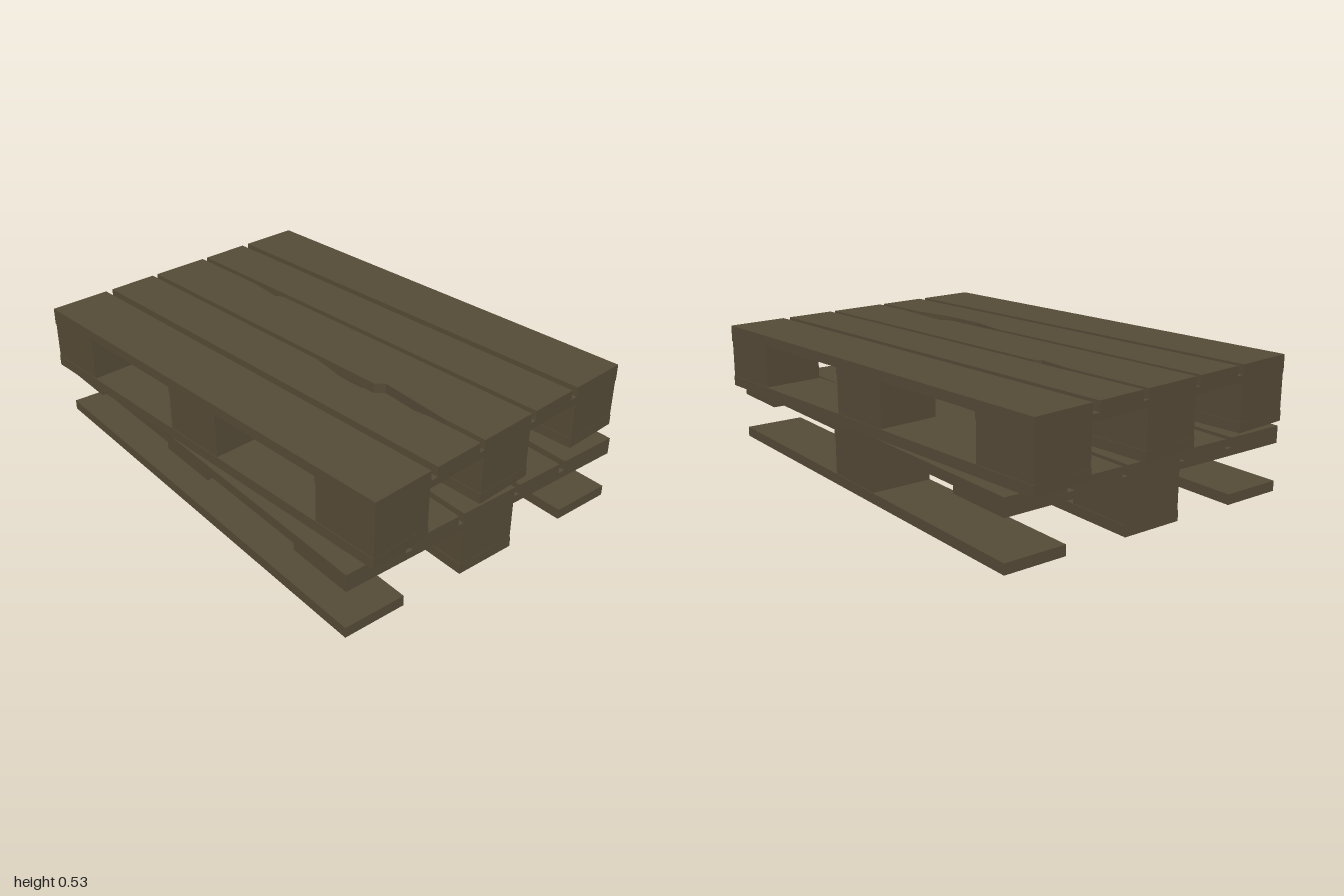
import * as THREE from 'three';

const wood = new THREE.MeshStandardMaterial({ color: 0x554a37 });
wood.name = 'weathered wood';

const LENGTH = 1.904;
const HEIGHT = 0.265;
const BLOCK_X = [-0.53, 0, 0.53];
const BLOCK_Z = [-0.812, 0, 0.812];
// left and right edge of each deck board
const DECK = [[-0.66, -0.4], [-0.368, -0.153], [-0.128, 0.128], [0.153, 0.368], [0.4, 0.66]];

function box(parent, name, w, h, d, x, y, z) {
  const mesh = new THREE.Mesh(new THREE.BoxGeometry(w, h, d), wood);
  mesh.name = name;
  mesh.position.set(x, y + h / 2, z);
  parent.add(mesh);
}

// Deck board whose long edges may be splintered: chips are [x, z] points
// ordered by rising z on each edge.
function deckBoard(parent, [x0, x1], { left = [], right = [] } = {}) {
  const e = LENGTH / 2;
  const outline = [[x0, -e], [x1, -e], ...right, [x1, e], [x0, e], ...[...left].reverse()];
  const shape = new THREE.Shape(outline.map(([x, z]) => new THREE.Vector2(x, z)));
  const geo = new THREE.ExtrudeGeometry(shape, { depth: 0.04, bevelEnabled: false });
  geo.rotateX(Math.PI / 2);
  const mesh = new THREE.Mesh(geo, wood);
  mesh.name = 'deckBoard';
  mesh.position.y = HEIGHT;
  parent.add(mesh);
}

function pallet(name, hasBlock, chips) {
  const group = new THREE.Group();
  group.name = name;
  BLOCK_X.forEach((x, i) => {
    // runner along the ground with its spacer blocks
    box(group, 'bottomRunner', 0.26, 0.042, LENGTH, x, 0, 0);
    BLOCK_Z.forEach((z, j) => {
      if (hasBlock(i, j)) box(group, 'spacerBlock', 0.255, 0.154, 0.278, x, 0.042, z);
    });
  });
  // cross boards under the deck
  BLOCK_Z.forEach((z) => box(group, 'crossBoard', 1.32, 0.029, 0.28, 0, 0.196, z));
  DECK.forEach((edges, i) => deckBoard(group, edges, chips[i]));
  return group;
}

export function createModel() {
  const model = new THREE.Group();
  model.name = 'palletStack';

  // lower pallet has lost most of its outer blocks
  const lower = pallet('lowerPallet', (i, j) => i === 1 || (i === 2 && j === 1), {
    3: { left: [[0.153, 0.15], [0.178, 0.31], [0.165, 0.5], [0.153, 0.58]] },
  });
  lower.position.set(-0.01, 0, 0.015);

  // upper pallet is complete and sits slightly turned
  const upper = pallet('upperPallet', () => true, {
    1: { right: [[-0.153, 0.14], [-0.183, 0.3], [-0.183, 0.49], [-0.153, 0.72]] },
    2: {
      left: [[-0.128, 0.42], [-0.096, 0.45], [-0.128, 0.77]],
      right: [[0.128, -0.57], [0.108, -0.41], [0.128, -0.39]],
    },
  });
  upper.position.y = HEIGHT;
  upper.rotation.y = THREE.MathUtils.degToRad(4.5);

  model.add(lower, upper);
  return model;
}
